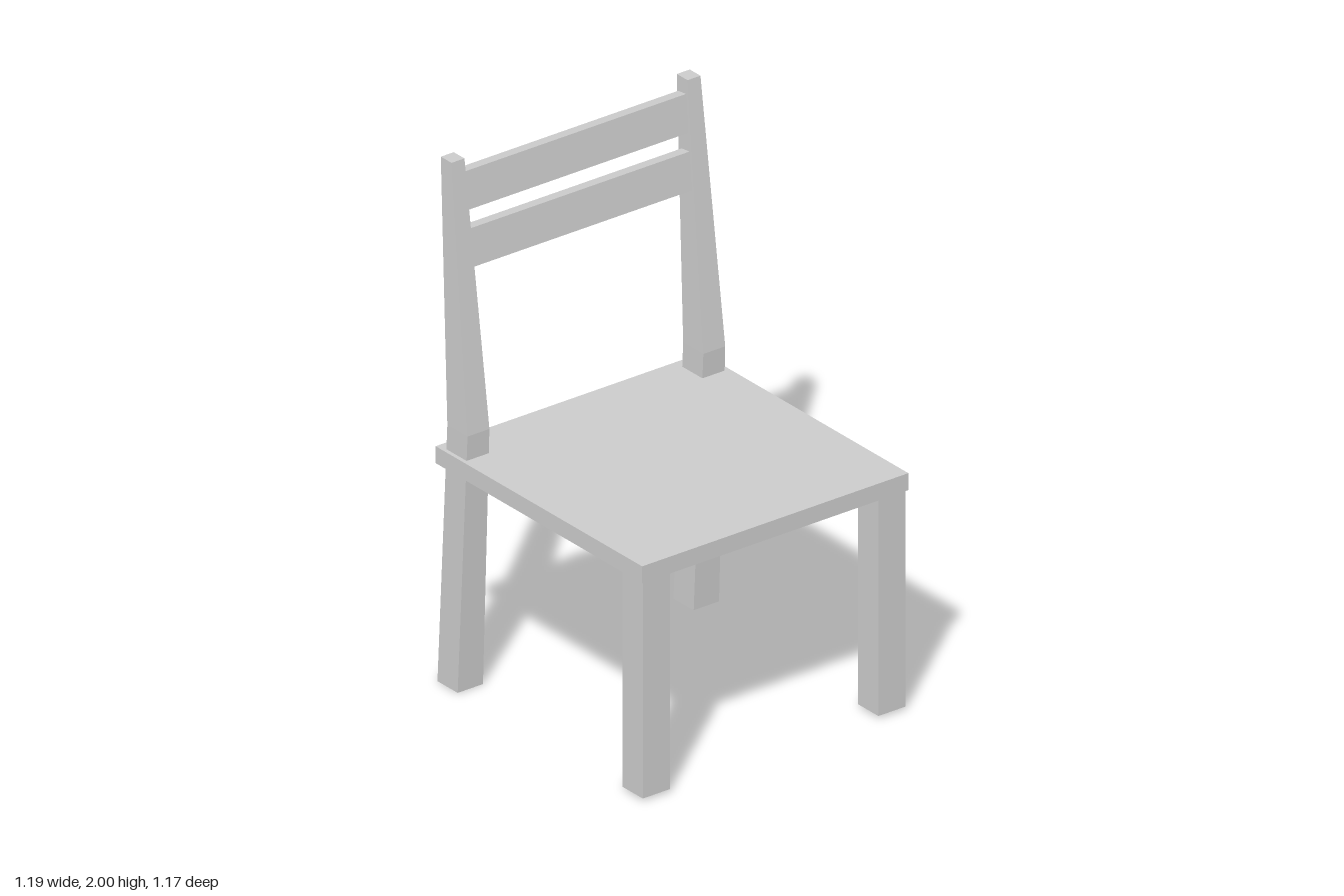
import * as THREE from 'three';

const material = new THREE.MeshStandardMaterial({ color: 0xcccccc, flatShading: true });

function addMesh(parent, name, geometry, x = 0, y = 0, z = 0) {
  const mesh = new THREE.Mesh(geometry, material);
  mesh.name = name;
  mesh.position.set(x, y, z);
  parent.add(mesh);
  return mesh;
}

// Rear post: a box with one middle ring, bent and tapered through three sections
const postSections = [
  { y: 0, back: -0.57, front: -0.457, inner: 0.457, outer: 0.567 },
  { y: 1, back: -0.525, front: -0.412, inner: 0.464, outer: 0.559 },
  { y: 2, back: -0.586, front: -0.526, inner: 0.484, outer: 0.54 },
];

function postGeometry(side) {
  const geometry = new THREE.BoxGeometry(2, 2, 2, 1, 2, 1);
  const p = geometry.attributes.position;
  for (let i = 0; i < p.count; i++) {
    const s = postSections[Math.round(p.getY(i)) + 1];
    const x = p.getX(i) > 0 ? s.front : s.back;
    const z = side * (p.getZ(i) * side > 0 ? s.outer : s.inner);
    p.setXYZ(i, x, s.y, z);
  }
  geometry.computeVertexNormals();
  return geometry;
}

export function createModel() {
  const model = new THREE.Group();
  model.name = 'chair';

  // The chair looks along +x and is turned by about one degree
  const chair = new THREE.Group();
  chair.name = 'chairFrame';
  chair.rotation.y = -0.0173;
  model.add(chair);

  addMesh(chair, 'seat', new THREE.BoxGeometry(1.155, 0.065, 1.155), 0.0075, 0.8725, -0.0025);

  // Front legs and rear posts, one of each per side
  for (const side of [1, -1]) {
    const label = side > 0 ? 'Left' : 'Right';
    addMesh(chair, 'frontLeg' + label, new THREE.BoxGeometry(0.113, 0.832, 0.117), 0.525, 0.426, side * 0.511);
    addMesh(chair, 'rearPost' + label, postGeometry(side));
  }

  // Back slats, leaning with the posts
  for (const [name, x, y] of [['upperSlat', -0.547, 1.871], ['lowerSlat', -0.522, 1.661]]) {
    addMesh(chair, name, new THREE.BoxGeometry(0.044, 0.143, 0.975), x, y, 0).rotation.z = 0.114;
  }

  return model;
}
